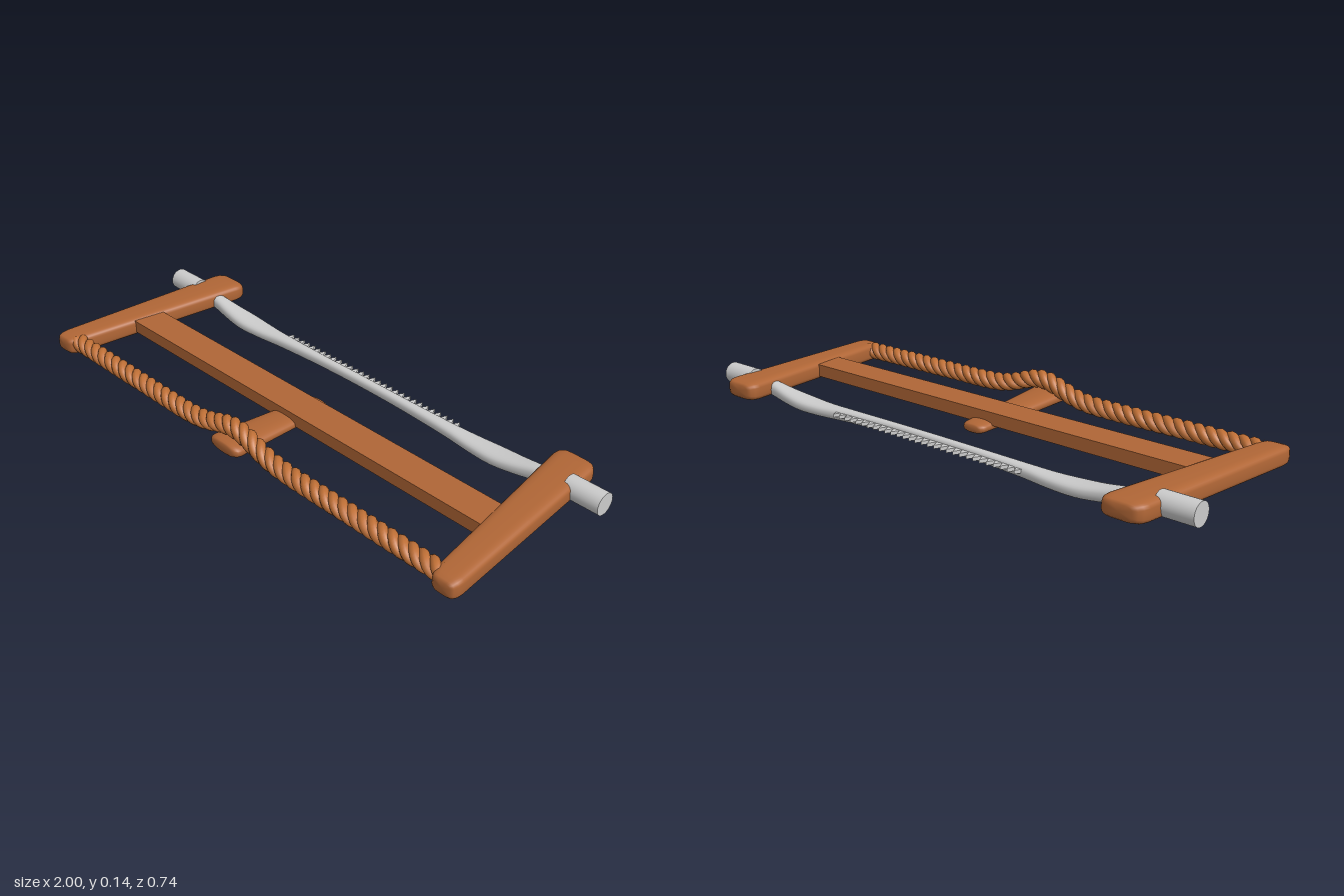
import * as THREE from 'three';

const WOOD = new THREE.MeshStandardMaterial({ color: 0xb06636 });
const ROPE = new THREE.MeshStandardMaterial({ color: 0xc07036 });
const METAL = new THREE.MeshStandardMaterial({ color: 0xcccccc });

function mesh(name, geometry, material, parent) {
  const m = new THREE.Mesh(geometry, material);
  m.name = name;
  parent.add(m);
  return m;
}

// Skin rounded cross-sections. Axis 'z': [z, x, y, halfX, halfY]; axis 'x': [x, y, z, halfY, halfZ].
function loft(sections, axis, power = 2, n = 32) {
  const pos = [], idx = [];
  const put = (t, a, b) => (axis === 'z' ? pos.push(a, b, t) : pos.push(t, a, b));
  const bend = (v) => Math.sign(v) * Math.abs(v) ** (2 / power);
  for (const [t, a, b, ha, hb] of sections) {
    for (let j = 0; j < n; j++) {
      const q = (j / n) * Math.PI * 2;
      put(t, a + ha * bend(Math.cos(q)), b + hb * bend(Math.sin(q)));
    }
  }
  const last = sections.length - 1;
  for (let i = 0; i < last; i++) {
    for (let j = 0; j < n; j++) {
      const a = i * n + j, b = i * n + (j + 1) % n;
      idx.push(a, b, b + n, a, b + n, a + n);
    }
  }
  // End caps
  const c = pos.length / 3;
  put(...sections[0].slice(0, 3));
  put(...sections[last].slice(0, 3));
  for (let j = 0; j < n; j++) {
    const k = (j + 1) % n;
    idx.push(c, k, j, c + 1, last * n + j, last * n + k);
  }
  const g = new THREE.BufferGeometry();
  g.setAttribute('position', new THREE.Float32BufferAttribute(pos, 3));
  g.setIndex(idx);
  g.computeVertexNormals();
  return g;
}

// Tapered bar along z with softened ends
function roundedBar(z0, z1, start, end, power) {
  const steps = [[0, 0.62], [0.01, 0.82], [0.03, 0.95], [0.06, 1], [0.5, 1], [0.94, 1], [0.97, 0.95], [0.99, 0.82], [1, 0.62]];
  const sections = steps.map(([t, s]) => {
    const [x, y, hx, hy] = start.map((v, i) => v + (end[i] - v) * t);
    return [z0 + (z1 - z0) * t, x, y, hx * s, hy * s];
  });
  return loft(sections, 'z', power);
}

// Rope centre line: straight, lifted over the toggle
const ropeHeight = (x) => 0.056 + 0.052 * Math.exp(-((x / 0.125) ** 2));

class Strand extends THREE.Curve {
  constructor(phase) {
    super();
    this.phase = phase;
  }
  getPoint(t, target = new THREE.Vector3()) {
    const x = -0.87 + 1.74 * t;
    const q = this.phase + (x / 0.12) * Math.PI * 2;
    return target.set(x, ropeHeight(x) + 0.0165 * Math.cos(q), 0.317 + 0.0165 * Math.sin(q));
  }
}

export function createModel() {
  const saw = new THREE.Group();
  saw.name = 'frameSaw';

  // Side arms and the round pins that hold the blade
  for (const side of [-1, 1]) {
    const label = side > 0 ? 'left' : 'right';
    mesh(label + 'Arm', roundedBar(-0.375, 0.36, [side * 0.815, 0.059, 0.074, 0.034],
      [side * 0.9, 0.049, 0.048, 0.034], 4), WOOD, saw);
    const pin = mesh(label + 'Pin', new THREE.CylinderGeometry(0.038, 0.038, 0.13, 32), METAL, saw);
    pin.rotation.z = Math.PI / 2;
    pin.position.set(side * 0.935, 0.063, -0.252);
  }

  // Crossbar
  mesh('crossbar', new THREE.BoxGeometry(1.68, 0.045, 0.118), WOOD, saw).position.set(0, 0.057, 0.043);

  // Toggle under the crossbar, twisting the rope
  mesh('toggle', roundedBar(-0.066, 0.367, [-0.01, 0.027, 0.046, 0.018],
    [-0.01, 0.052, 0.07, 0.025], 2.5), WOOD, saw);

  // Twisted tension rope
  const rope = new THREE.Group();
  rope.name = 'rope';
  saw.add(rope);
  for (let i = 0; i < 3; i++) {
    mesh('ropeStrand', new THREE.TubeGeometry(new Strand((i * Math.PI * 2) / 3), 320, 0.0165, 10), ROPE, rope);
  }

  // Blade: half profile [x, y, z, halfY, halfZ], mirrored
  const half = [
    [0, 0.038, -0.25, 0.018, 0.017],
    [0.2, 0.036, -0.25, 0.019, 0.018],
    [0.4, 0.031, -0.251, 0.021, 0.026],
    [0.5, 0.028, -0.252, 0.022, 0.036],
    [0.6, 0.03, -0.252, 0.024, 0.042],
    [0.68, 0.038, -0.252, 0.025, 0.035],
    [0.76, 0.05, -0.252, 0.026, 0.025],
    [0.84, 0.058, -0.252, 0.025, 0.022],
  ];
  const mirrored = half.slice(1).reverse().map(([x, ...rest]) => [-x, ...rest]);
  const curve = new THREE.CatmullRomCurve3([...mirrored, ...half].map((s) => new THREE.Vector3(s[0], s[1], s[2])));
  const sizes = new THREE.CatmullRomCurve3([...mirrored, ...half].map((s) => new THREE.Vector3(s[0], s[3], s[4])));
  const sections = [];
  for (let i = 0; i <= 56; i++) {
    const p = curve.getPoint(i / 56), s = sizes.getPoint(i / 56);
    sections.push([p.x, p.y, p.z, s.y, s.z]);
  }
  mesh('blade', loft(sections, 'x', 2.5, 24), METAL, saw);

  // Saw teeth along the back edge of the blade
  const teeth = new THREE.Shape();
  const count = 30, pitch = 0.82 / count;
  teeth.moveTo(-0.4, 0.25);
  for (let i = 0; i < count; i++) {
    const x = -0.4 + i * pitch;
    teeth.lineTo(x, 0.268);
    teeth.lineTo(x + pitch / 2, 0.297);
  }
  teeth.lineTo(0.42, 0.268);
  teeth.lineTo(0.42, 0.25);
  const teethMesh = mesh('teeth', new THREE.ExtrudeGeometry(teeth, { depth: 0.012, bevelEnabled: false }), METAL, saw);
  teethMesh.rotation.x = -Math.PI / 2;
  teethMesh.position.y = 0.031;

  return saw;
}
